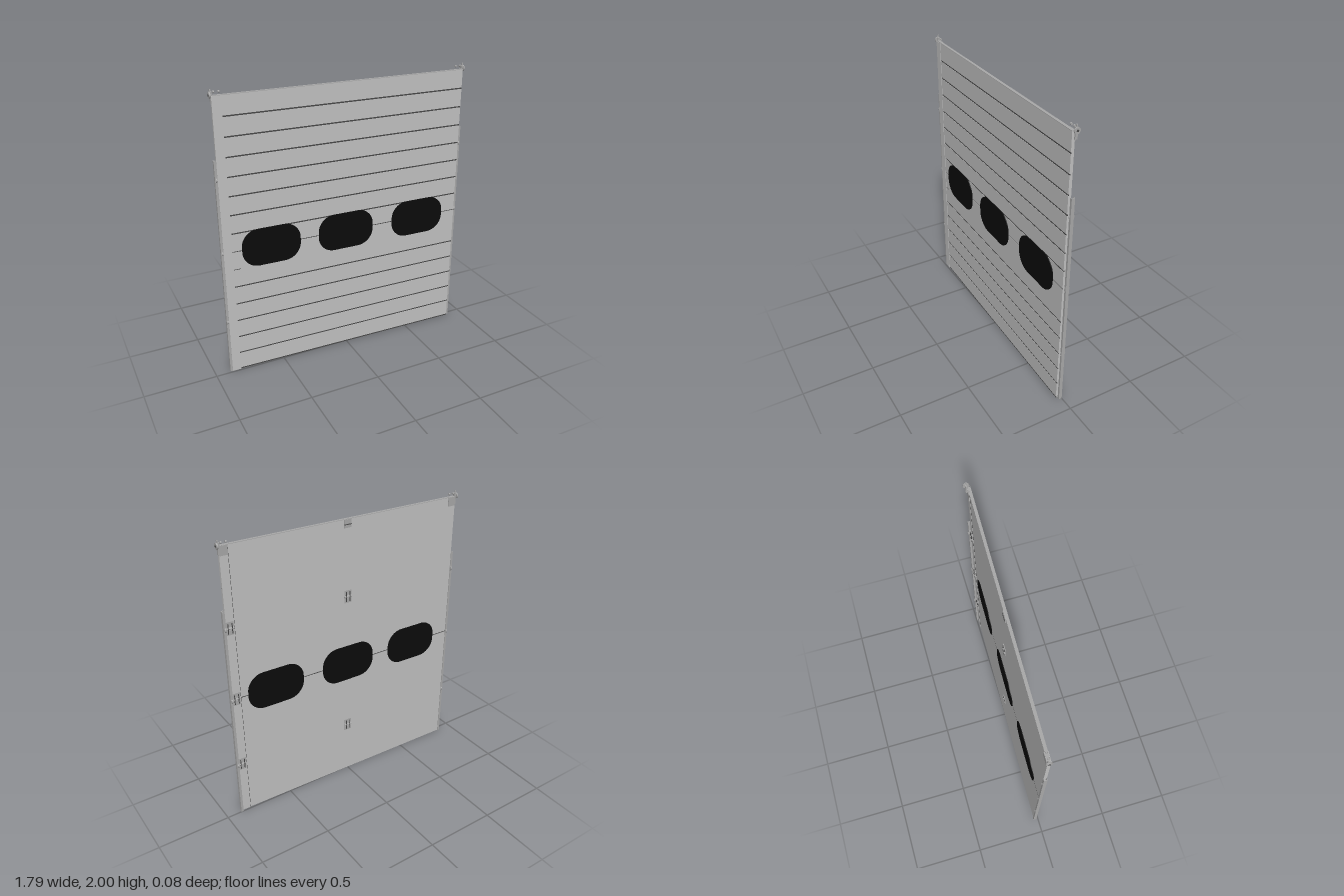
import * as THREE from 'three';

const mat = (name, hex) => {
  const m = new THREE.MeshStandardMaterial({ color: hex });
  m.name = name;
  return m;
};

export function createModel() {
  const panelGrey = mat('panelGrey', 0xc0c0c0);
  const metalGrey = mat('metalGrey', 0xa8a8a8);
  const seamGrey = mat('seamGrey', 0x484848);
  const windowBlack = mat('windowBlack', 0x0b0b0b);

  const root = new THREE.Group();
  root.name = 'sectionalDoor';
  const door = new THREE.Group();
  door.name = 'doorAssembly';
  door.rotation.y = -0.026;
  root.add(door);

  // Box given by its extents
  const box = (name, m, x0, x1, y0, y1, z0, z1, parent = door) => {
    const mesh = new THREE.Mesh(new THREE.BoxGeometry(x1 - x0, y1 - y0, z1 - z0), m);
    mesh.position.set((x0 + x1) / 2, (y0 + y1) / 2, (z0 + z1) / 2);
    mesh.name = name;
    parent.add(mesh);
    return mesh;
  };
  // Cylinder lying along x
  const rod = (name, m, x, y, z, r, len, parent = door) => {
    const mesh = new THREE.Mesh(new THREE.CylinderGeometry(r, r, len, 16), m);
    mesh.rotation.z = Math.PI / 2;
    mesh.position.set(x, y, z);
    mesh.name = name;
    parent.add(mesh);
  };

  // Door core with horizontal front slats separated by dark grooves
  const top = 1.96, left = -0.82, right = 0.875, pitch = 0.1304;
  box('doorCore', panelGrey, -0.88, right, 0, top, -0.008, 0.004);
  for (let i = 0; i < 15; i++) {
    const seam = 0.005 + i * pitch;
    const half = i === 7 ? 0.003 : 0.0048;
    const hidden = i === 6; // this joint shows only beside the stile
    const lower = i === 0 ? 0.01 : seam + (hidden ? 0 : half);
    const nextHalf = i + 1 === 6 ? 0 : i + 1 === 7 ? 0.003 : 0.0048;
    const upper = i === 14 ? top : seam + pitch - nextHalf;
    box('slat', panelGrey, left, right, lower, upper, 0.004, 0.009);
    if (hidden) box('shortGroove', seamGrey, left, -0.77, seam - 0.002, seam + 0.002, 0.009, 0.0095);
    else box('groove', seamGrey, left, right, seam - half, seam + half, 0.004, 0.0075);
  }
  box('frontStile', panelGrey, -0.88, left, 0, top, 0.004, 0.012);
  box('backStile', panelGrey, 0.82, right, 0, top, -0.011, -0.008);
  box('stileEdge', seamGrey, 0.817, 0.82, 0, top, -0.009, -0.008);
  box('backJoint', seamGrey, -0.88, 0.82, 0.917, 0.922, -0.0088, -0.008);
  box('topCap', metalGrey, -0.88, right, top, top + 0.003, -0.009, 0.01);

  // Rounded windows passing through the door
  const w = 0.205, h = 0.134, r = 0.115;
  const shape = new THREE.Shape();
  shape.moveTo(-w + r, -h);
  shape.lineTo(w - r, -h);
  shape.absarc(w - r, -h + r, r, -Math.PI / 2, 0, false);
  shape.lineTo(w, h - r);
  shape.absarc(w - r, h - r, r, 0, Math.PI / 2, false);
  shape.lineTo(-w + r, h);
  shape.absarc(-w + r, h - r, r, Math.PI / 2, Math.PI, false);
  shape.lineTo(-w, -h + r);
  shape.absarc(-w + r, -h + r, r, Math.PI, Math.PI * 1.5, false);
  const glass = new THREE.ExtrudeGeometry(shape, { depth: 0.028, bevelEnabled: false, curveSegments: 16 });
  for (const x of [-0.55, -0.005, 0.56]) {
    const mesh = new THREE.Mesh(glass, windowBlack);
    mesh.position.set(x, 0.92, -0.013);
    mesh.name = 'window';
    door.add(mesh);
  }

  // Hinge: two plates, a knuckle and raised flanges, on the back of the door
  const addHinge = (x, y) => {
    const g = new THREE.Group();
    g.name = 'hinge';
    g.position.set(x, y, -0.01);
    door.add(g);
    box('upperPlate', metalGrey, -0.026, 0.026, 0.012, 0.045, -0.003, 0.002, g);
    box('lowerPlate', metalGrey, -0.026, 0.026, -0.045, -0.012, -0.003, 0.002, g);
    rod('knuckle', metalGrey, 0, 0, -0.003, 0.006, 0.056, g);
    for (const s of [-1, 1]) {
      box('flange', seamGrey, s * 0.014 - 0.002, s * 0.014 + 0.002, -0.035, 0.035, -0.009, 0, g);
    }
  };
  for (const y of [0.4, 0.92, 1.43]) addHinge(0.85, y);
  for (const y of [0.4, 1.43]) addHinge(0, y);
  box('topCentrePlate', metalGrey, -0.026, 0.026, 1.905, top, -0.013, -0.007);
  box('topCentreLip', seamGrey, -0.026, 0.026, 1.925, 1.93, -0.016, -0.012);

  // Guide rails, rollers and top brackets on both sides
  for (const s of [-1, 1]) {
    const z = s < 0 ? -0.002 : -0.014;
    const span = (a, b) => (s < 0 ? [-b, -a] : [a, b]);
    box('railWeb', metalGrey, ...span(0.892, 0.896), 0, 1.555, z - 0.01, z + 0.012);
    box('railFrontLip', metalGrey, ...span(0.88, 0.892), 0, 1.555, z + 0.009, z + 0.012);
    box('railBackLip', metalGrey, ...span(0.88, 0.892), 0, 1.555, z - 0.01, z - 0.007);
    for (const y of [0.4, 0.92, 1.43]) {
      rod('roller', metalGrey, s * 0.887, y, z, 0.018, 0.008);
      rod('rollerPin', metalGrey, s * 0.87, y, z, 0.004, 0.04);
      box('rollerBracket', metalGrey, ...span(0.876, 0.882), y - 0.04, y + 0.04, z - 0.006, z + 0.006);
    }
    box('topBracket', metalGrey, ...span(0.872, 0.884), 1.91, 1.985, z - 0.008, z + 0.008);
    box('topBracketPlate', metalGrey, ...span(0.82, 0.876), 1.9, 1.962, -0.014, -0.008);
    rod('topRoller', metalGrey, s * 0.888, 1.965, z, 0.02, 0.009);
    rod('topRollerHub', seamGrey, s * 0.893, 1.965, z, 0.007, 0.005);
    box('topBracketTab', metalGrey, ...span(0.878, 0.886), 1.975, 2, z - 0.004, z + 0.004);
    for (const x of [0.83, 0.862]) {
      rod('topPin', metalGrey, s * x, 1.982, z, 0.007, 0.01);
    }
  }
  return root;
}
